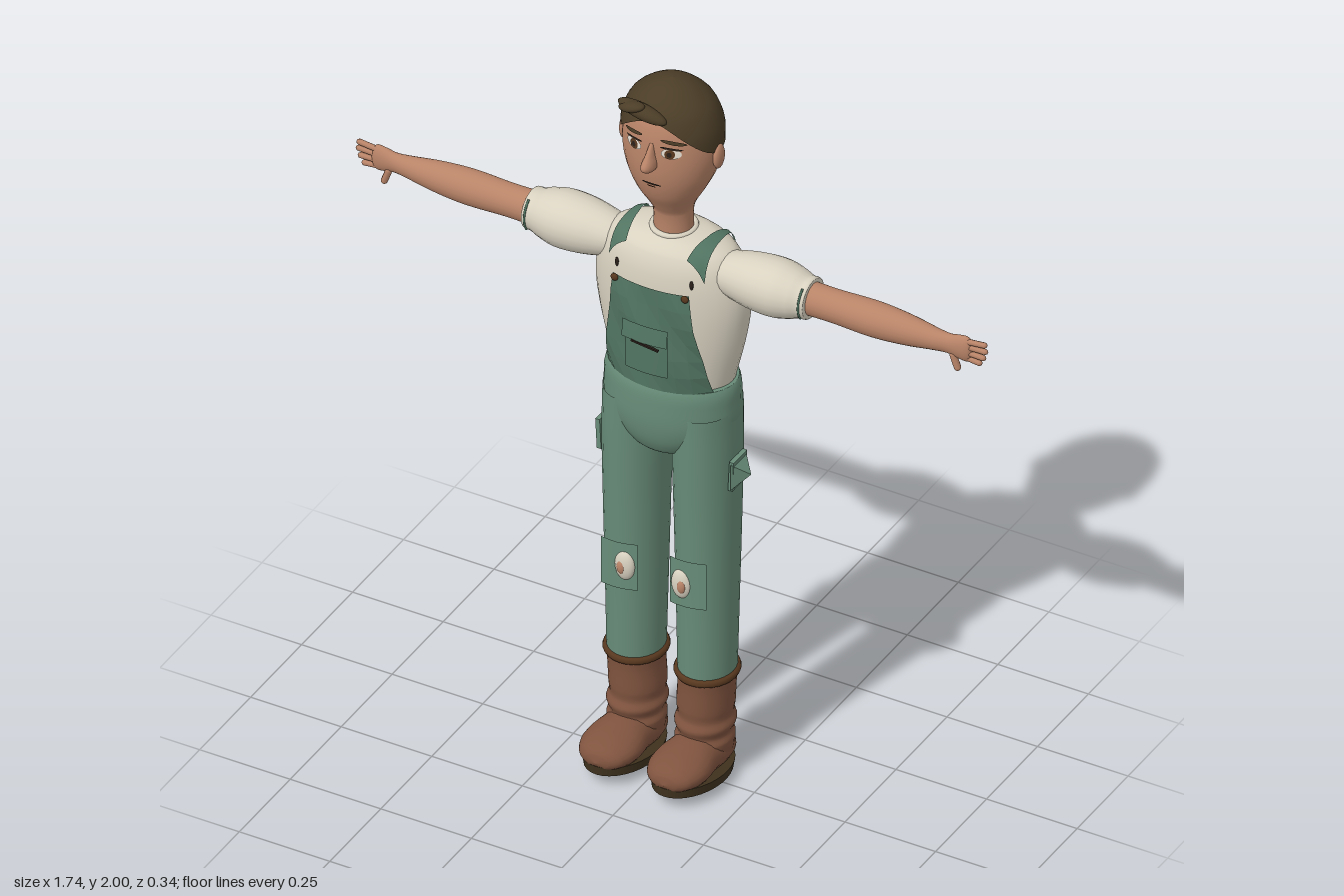
import * as THREE from 'three';

const mat = (name, color) => Object.assign(new THREE.MeshStandardMaterial({ color, side: THREE.DoubleSide }), { name });
const M = {
  skin: mat('skin', 0xb98468), shirt: mat('cream cloth', 0xd9d2c1), denim: mat('green cloth', 0x688c78),
  bib: mat('dark green cloth', 0x527562), boot: mat('brown leather', 0x80543f), hair: mat('dark brown hair', 0x4b3d27),
  sole: mat('sole', 0x40331f), cuff: mat('dark leather', 0x58381f), white: mat('eye white', 0xe6dfd4), dark: mat('near black', 0x2a201a),
};

// Smooth value of ring list [t, rx, rz, cx, cz] at t
function ringAt(rings, t) {
  const n = rings.length;
  let i = 0;
  while (i < n - 2 && t > rings[i + 1][0]) i++;
  const a = rings[i], b = rings[i + 1], h = b[0] - a[0];
  const s = Math.min(1, Math.max(0, (t - a[0]) / h)), s2 = s * s, s3 = s2 * s;
  const slope = (k, c) => {
    const p = rings[Math.max(0, k - 1)], q = rings[Math.min(n - 1, k + 1)];
    return (q[c] - p[c]) / (q[0] - p[0]);
  };
  return [1, 2, 3, 4].map(c => (2 * s3 - 3 * s2 + 1) * a[c] + (3 * s2 - 2 * s3) * b[c]
    + h * ((s3 - 2 * s2 + s) * slope(i, c) + (s3 - s2) * slope(i + 1, c)));
}

// Grid surface from fn(u, v) -> [x, y, z]; wrap closes it in u
function grid(fn, nu, nv, wrap = false) {
  const pos = [], idx = [], cols = wrap ? nu : nu + 1;
  for (let j = 0; j <= nv; j++) for (let i = 0; i < cols; i++) pos.push(...fn(i / nu, j / nv));
  for (let j = 0; j < nv; j++) for (let i = 0; i < nu; i++) {
    const a = j * cols + i, b = j * cols + (i + 1) % cols, c = a + cols, d = b + cols;
    idx.push(a, c, b, b, c, d);
  }
  const g = new THREE.BufferGeometry();
  g.setAttribute('position', new THREE.Float32BufferAttribute(pos, 3));
  g.setIndex(idx);
  g.computeVertexNormals();
  return g;
}

// Elliptical body running along y
function loft(rings, nu = 28, sub = 5) {
  const n = rings.length - 1;
  return grid((u, v) => {
    const k = Math.min(n - 1, Math.floor(v * n + 1e-6)), f = v * n - k;
    const t = rings[k][0] + (rings[k + 1][0] - rings[k][0]) * f;
    const [rx, rz, cx, cz] = ringAt(rings, t), a = u * Math.PI * 2;
    return [cx + rx * Math.cos(a), t, cz + rz * Math.sin(a)];
  }, nu, n * sub, true);
}

// Front z of a lofted body
function frontZ(rings, x, y) {
  const [rx, rz, cx, cz] = ringAt(rings, y);
  return cz + rz * Math.sqrt(Math.max(0, 1 - ((x - cx) / rx) ** 2));
}

const HEAD = [[1.54, .05, .048, 0, -.05], [1.62, .05, .05, 0, -.048], [1.65, .06, .062, 0, -.045], [1.7, .088, .086, 0, -.04],
  [1.76, .115, .104, 0, -.042], [1.83, .127, .109, 0, -.045], [1.9, .116, .101, 0, -.046], [1.95, .085, .077, 0, -.046],
  [1.975, .05, .045, 0, -.046], [1.985, 0, 0, 0, -.046]];
const HAIR = [[1.82, .13, .113, 0, -.045], [1.88, .13, .113, 0, -.045], [1.92, .118, .104, 0, -.045], [1.95, .1, .089, 0, -.045],
  [1.98, .063, .057, 0, -.045], [1.994, .032, .03, 0, -.045], [2, 0, 0, 0, -.045]];
const TORSO = [[1.1, .15, .102, 0, -.048], [1.16, .163, .108, 0, -.05], [1.3, .195, .116, 0, -.05], [1.4, .206, .117, 0, -.05],
  [1.48, .192, .112, 0, -.05], [1.53, .163, .096, 0, -.05], [1.555, .11, .072, 0, -.05], [1.566, .052, .05, 0, -.05]];
const PELVIS = [[.93, 0, 0, 0, -.045], [.94, .07, .068, 0, -.045], [.97, .125, .102, 0, -.045], [1.03, .172, .121, 0, -.045],
  [1.1, .178, .124, 0, -.045], [1.155, .171, .119, 0, -.047], [1.157, .15, .104, 0, -.047]];

export function createModel() {
  const root = new THREE.Group();
  const add = (name, geo, m, x = 0, y = 0, z = 0) => {
    const mesh = new THREE.Mesh(geo, m);
    mesh.name = name;
    mesh.position.set(x, y, z);
    root.add(mesh);
    return mesh;
  };
  const ball = (name, m, p, s) => {
    const b = add(name, new THREE.SphereGeometry(1, 20, 14), m, ...p);
    b.scale.set(...s);
    return b;
  };
  // Thin oval laid on the face
  const faceOval = (name, m, x, y, rx, ry, off, tilt = 0) => add(name, grid((u, v) => {
    const a = u * Math.PI * 2, px = v * rx * Math.cos(a), py = v * ry * Math.sin(a) + tilt * px;
    return [x + px, y + py, frontZ(HEAD, x + px, y + py) + off];
  }, 20, 3, true), m);

  // Head, hair and face
  add('headAndNeck', loft(HEAD, 32), M.skin);
  add('hairCap', grid((u, v) => {
    const a = u * Math.PI * 2, x = .126 * Math.cos(a);
    const low = Math.sin(a) > 0 ? Math.max(1.83, 1.928 - 6.2 * x * x) : 1.83;
    const y = low + (2 - low) * (1 - (1 - v) ** 2), [rx, rz, , cz] = ringAt(HAIR, y);
    return [rx * Math.cos(a), y, cz + rz * Math.sin(a)];
  }, 48, 14, true), M.hair);
  const lock = ball('hairLock', M.hair, [-.03, 1.947, .052], [.068, .019, .022]);
  lock.rotation.z = -.2;
  ball('hairLockTip', M.hair, [-.055, 1.958, .06], [.036, .013, .02]).rotation.z = .25;
  add('nose', loft([[1.793, 0, 0, 0, .068], [1.803, .016, .027, 0, .07], [1.818, .017, .034, 0, .07],
    [1.84, .011, .022, 0, .064], [1.87, .005, .008, 0, .055]], 14), M.skin);
  faceOval('mouth', M.dark, 0, 1.752, .027, .003, .003);
  faceOval('lowerLip', M.cuff, 0, 1.744, .012, .002, .003);

  // Shirt body, collar and trouser seat
  add('shirt', loft(TORSO, 36), M.shirt);
  const collar = add('collar', new THREE.TorusGeometry(.053, .008, 8, 28), M.shirt, 0, 1.562, -.05);
  collar.rotation.x = Math.PI / 2;
  add('trouserSeat', loft(PELVIS, 36), M.denim);

  // Creased bib with pocket
  const bib = grid((u, v) => {
    const x = (u * 2 - 1) * (.145 - .04 * v), y = 1.155 + .3 * v;
    const crease = .007 * Math.sin(u * 9 + v * 7) * Math.sin(v * Math.PI);
    return [x, y, frontZ(TORSO, x, y) + .016 + crease];
  }, 8, 6).toNonIndexed();
  bib.computeVertexNormals();
  add('bib', bib, M.bib);
  const pocket = (name, y0, y1, w, off) => add(name, grid((u, v) => {
    const x = (u * 2 - 1) * w, y = y0 + (y1 - y0) * v;
    return [x, y, frontZ(TORSO, x, y) + off + .008 * (1 - v)];
  }, 6, 2), M.bib);
  pocket('bibPocket', 1.21, 1.33, .058, .023);
  pocket('bibPocketFlap', 1.305, 1.352, .062, .03);
  const seam = add('bibPocketSeam', new THREE.BoxGeometry(.075, .005, .006), M.dark, .005, 1.3, .103);
  seam.rotation.z = -.12;

  for (const s of [1, -1]) {
    const side = s > 0 ? 'left' : 'right';
    const n = part => side + part;

    // Ear and eye
    ball(n('Ear'), M.skin, [s * .129, 1.815, -.04], [.012, .035, .022]);
    faceOval(n('EyeWhite'), M.white, s * .051, 1.851, .024, .014, .003);
    faceOval(n('Iris'), M.cuff, s * .049, 1.851, .0125, .013, .005);
    faceOval(n('Pupil'), M.dark, s * .049, 1.851, .006, .007, .007);
    faceOval(n('Lash'), M.dark, s * .051, 1.866, .027, .003, .005, -s * .1);
    faceOval(n('Brow'), M.hair, s * .055, 1.882, .03, .005, .005, -s * .15);

    // Shoulder strap following the shirt, and bib button
    const shoulderY = (x, z) => {
      let lo = 1.3, hi = 1.566;
      for (let k = 0; k < 24; k++) {
        const y = (lo + hi) / 2, [rx, rz, , cz] = ringAt(TORSO, y);
        if ((x / rx) ** 2 + ((z - cz) / rz) ** 2 < 1) lo = y; else hi = y;
      }
      return lo;
    };
    add(n('Strap'), grid((u, v) => {
      const z = .032 - .167 * v, x = .108 + .01 * v + (u * 2 - 1) * (.024 - .02 * v);
      return [s * x, shoulderY(x, z) + .006, z + (z > -.05 ? .004 : -.004)];
    }, 4, 16), M.bib);
    ball(n('BibButton'), M.cuff, [s * .097, 1.447, frontZ(TORSO, .097, 1.447) + .019], [.01, .01, .006]);
    ball(n('StrapEnd'), M.dark, [s * .103, 1.476, frontZ(TORSO, .103, 1.476) + .002], [.005, .013, .004]);

    // Sleeve, arm and hand running outwards along x
    const limb = (name, rings, m, z) => {
      add(n(name), loft(rings, 24), m, 0, 1.482, z).rotation.z = -s * Math.PI / 2;
    };
    limb('Sleeve', [[.13, .045, .05, 0, 0], [.18, .06, .062, 0, 0], [.24, .071, .073, 0, 0], [.3, .073, .075, 0, 0],
      [.345, .063, .065, 0, 0], [.37, .054, .056, 0, 0], [.388, .052, .054, 0, 0], [.389, .04, .04, 0, 0]], M.shirt, -.042);
    const trim = add(n('SleeveTrim'), new THREE.TorusGeometry(.056, .003, 6, 20, 1.6), M.bib, s * .378, 1.482, -.042);
    trim.rotation.set(0, Math.PI / 2, 0);
    trim.rotation.z = Math.PI * .7;
    limb('Arm', [[.36, .044, .042, 0, 0], [.45, .043, .04, 0, 0], [.56, .046, .043, 0, 0], [.65, .04, .036, 0, 0],
      [.73, .029, .024, 0, 0], [.765, .027, .018, 0, 0], [.795, .034, .016, 0, 0], [.82, .032, .012, 0, 0],
      [.832, 0, 0, 0, 0]], M.skin, -.042);
    [.026, .009, -.009, -.026].forEach((dy, k) => {
      const f = add(n('Finger'), new THREE.CapsuleGeometry(.0075, [.045, .055, .05, .035][k], 4, 8), M.skin,
        s * (.84 - .003 * k), 1.482 + dy, -.04);
      f.rotation.z = s * (Math.PI / 2 + dy * 4);
    });
    const thumb = add(n('Thumb'), new THREE.CapsuleGeometry(.009, .035, 4, 8), M.skin, s * .785, 1.441, -.035);
    thumb.rotation.z = s * .35;

    // Trouser leg with knee patch and side pocket
    const leg = [[.285, .071, .078, s * .098, -.04], [.5, .075, .084, s * .098, -.042], [.75, .08, .092, s * .098, -.043],
      [.95, .083, .1, s * .097, -.044], [1.08, .08, .104, s * .096, -.045]];
    add(n('TrouserLeg'), loft(leg, 28), M.denim);
    add(n('KneePatch'), grid((u, v) => [s * (.045 + .1 * u), .525 + .135 * v + .008 * u * s,
      .049 + .008 * Math.cos((u - .5) * 3)], 6, 2), M.denim);
    ball(n('KneePadding'), M.shirt, [s * .078, .592, .052], [.027, .042, .016]);
    ball(n('KneeTear'), M.skin, [s * .083, .59, .062], [.012, .02, .009]);
    const flap = add(n('SidePocket'), new THREE.BoxGeometry(.012, .085, .066), M.denim, s * .183, .908, -.036);
    flap.rotation.z = -s * .05;
    if (s > 0) {
      const cone = add('leftPocketBulge', new THREE.ConeGeometry(.052, .036, 4, 1).rotateY(Math.PI / 4).toNonIndexed(),
        M.denim, .203, .908, -.036);
      cone.geometry.computeVertexNormals();
      cone.rotation.z = -Math.PI / 2;
    }

    // Boot: cuff, wrinkled shaft, foot and sole
    const bx = s * .094;
    const cuff = add(n('BootCuff'), new THREE.TorusGeometry(.07, .011, 8, 28), M.cuff, s * .098, .298, -.04);
    cuff.rotation.x = Math.PI / 2;
    cuff.scale.y = 1.08;
    add(n('BootShaft'), loft([[.06, .066, .07, bx, -.04], [.105, .072, .08, bx, -.035], [.125, .066, .075, bx, -.038],
      [.15, .074, .082, bx, -.038], [.172, .067, .075, bx, -.04], [.2, .07, .077, bx, -.04],
      [.26, .07, .077, s * .097, -.04], [.3, .073, .08, s * .098, -.04]], 28), M.boot);
    add(n('BootFoot'), loft([[-.117, 0, 0, 0, -.055], [-.11, .04, .03, 0, -.056], [-.06, .064, .05, 0, -.062],
      [.02, .069, .055, 0, -.075], [.09, .077, .045, 0, -.078], [.14, .062, .033, 0, -.077], [.162, .036, .02, 0, -.074],
      [.17, 0, 0, 0, -.072]], 24), M.boot, bx).rotation.x = Math.PI / 2;
    const sole = add(n('BootSole'), new THREE.CylinderGeometry(1, .97, .024, 32), M.sole, bx, .032, .025);
    sole.scale.set(.084, 1, .146);
    sole.rotation.x = -.13;
  }
  return root;
}
